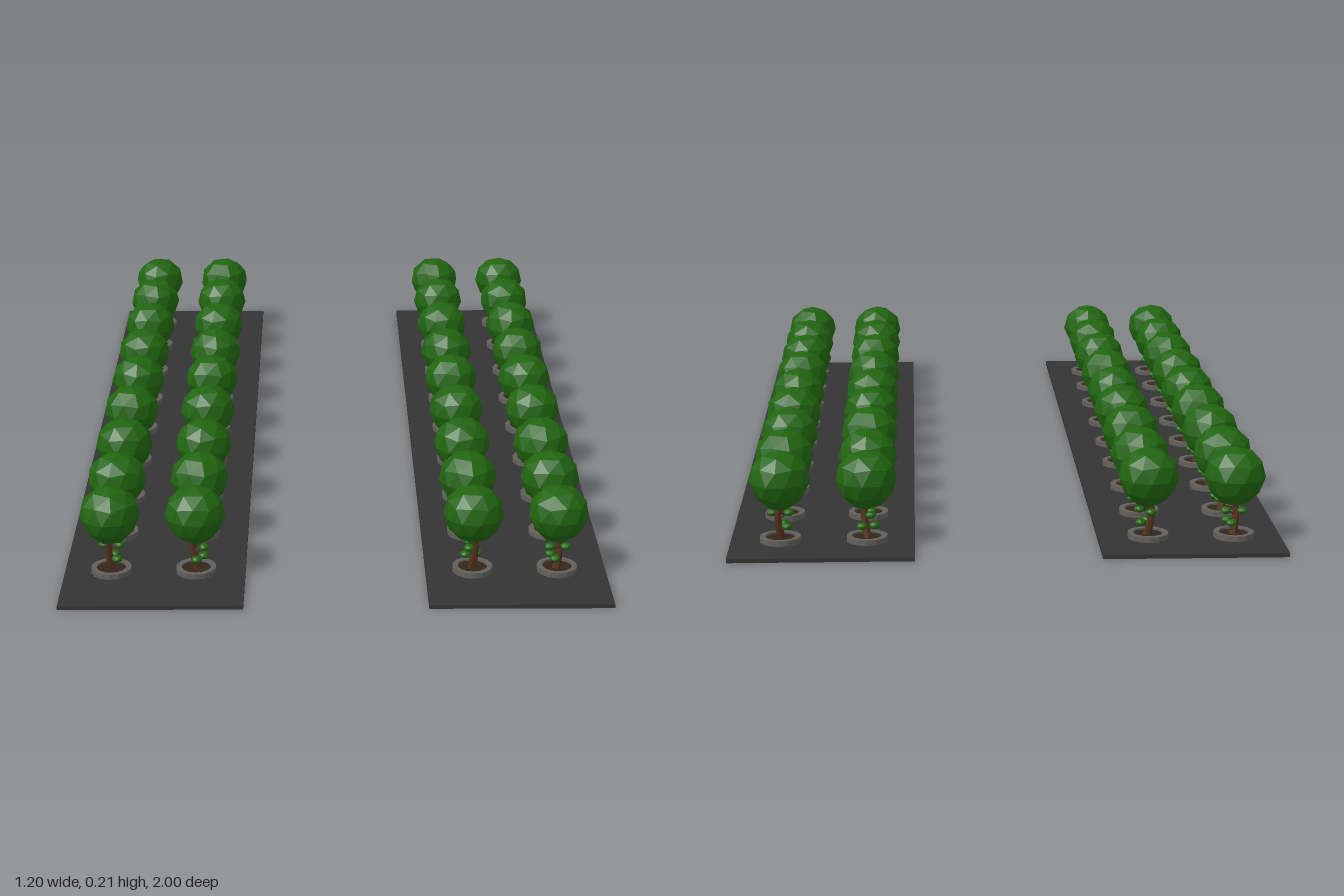
import * as THREE from 'three';

const mat = (name, color) => {
  const m = new THREE.MeshStandardMaterial({ color });
  m.name = name;
  m.flatShading = true;
  return m;
};

export function createModel() {
  const paving = mat('dark paving', 0x343434);
  const stone = mat('grey stone', 0x625f5b);
  const soil = mat('dark soil', 0x33251a);
  const bark = mat('brown bark', 0x52301a);
  const leaf = mat('green leaf', 0x20640f);

  // Faceted crown with a vertex on top, narrowing towards the bottom
  const crownGeo = new THREE.IcosahedronGeometry(0.067, 1).rotateZ(-0.5536);
  const p = crownGeo.attributes.position;
  for (let i = 0; i < p.count; i++) {
    const y = p.getY(i);
    const k = y < -0.01 ? 1 + y * 2.2 : 1 + Math.max(y, 0) * 0.8;
    p.setXYZ(i, p.getX(i) * k, y, p.getZ(i) * k);
  }
  crownGeo.computeVertexNormals();

  // Tapered, gently bent trunk
  const trunkGeo = new THREE.CylinderGeometry(0.006, 0.01, 0.09, 7, 5);
  const t = trunkGeo.attributes.position;
  for (let i = 0; i < t.count; i++) {
    const h = t.getY(i) / 0.09 + 0.5;
    t.setX(i, t.getX(i) + 0.005 - 0.012 * Math.sin(h * Math.PI * 0.7));
  }
  trunkGeo.translate(0, 0.053, 0);
  trunkGeo.computeVertexNormals();

  // Stone ring around the soil
  const ringGeo = new THREE.LatheGeometry(
    [[0.033, 0.008], [0.045, 0.008], [0.045, 0.021], [0.033, 0.021], [0.033, 0.008]]
      .map(([x, y]) => new THREE.Vector2(x, y)), 14);
  const soilGeo = new THREE.CylinderGeometry(0.034, 0.034, 0.009, 14).translate(0, 0.0125, 0);
  const tuftGeo = new THREE.IcosahedronGeometry(0.012, 1).scale(1, 0.68, 1);
  const twigGeo = new THREE.CylinderGeometry(0.0015, 0.0025, 1, 5).translate(0, 0.5, 0);
  const tufts = [[0.019, 0.071, 0.008], [0.017, 0.045, -0.006],
    [-0.004, 0.071, -0.019], [0.002, 0.045, 0.018]];

  const add = (parent, name, geo, material) => {
    const m = new THREE.Mesh(geo, material);
    m.name = name;
    parent.add(m);
    return m;
  };

  function makeTree(yaw, crownYaw) {
    const tree = new THREE.Group();
    tree.name = 'tree';
    add(tree, 'planterRing', ringGeo, stone);
    add(tree, 'planterSoil', soilGeo, soil);
    const upper = new THREE.Group();
    upper.name = 'treeTop';
    upper.rotation.y = yaw;
    tree.add(upper);
    add(upper, 'trunk', trunkGeo, bark);
    const crown = add(upper, 'crown', crownGeo, leaf);
    crown.position.y = 0.145;
    crown.rotation.y = crownYaw;
    // Small leafy side shoots
    for (const [x, y, z] of tufts) {
      const tip = new THREE.Vector3(x, y, z);
      add(upper, 'tuft', tuftGeo, leaf).position.copy(tip);
      const twig = add(upper, 'twig', twigGeo, bark);
      twig.position.set(-0.004, y - 0.012, 0);
      const dir = tip.sub(twig.position);
      twig.scale.y = dir.length();
      twig.quaternion.setFromUnitVectors(new THREE.Vector3(0, 1, 0), dir.normalize());
    }
    return tree;
  }

  const model = new THREE.Group();
  model.name = 'treeLinedStrips';
  const rows = [-0.87, -0.675, -0.46, -0.24, -0.03, 0.19, 0.415, 0.625, 0.825];
  const yaws = [0.8, 0, 2.4, 4];

  // Two paved strips, each with a double row of trees
  [-1, 1].forEach((side, s) => {
    const strip = new THREE.Group();
    strip.name = side < 0 ? 'rightStrip' : 'leftStrip';
    strip.position.x = side * 0.4;
    model.add(strip);
    add(strip, 'pavement', new THREE.BoxGeometry(0.4, 0.009, 2), paving).position.y = 0.0045;
    [-0.095, 0.093].forEach((x, c) => rows.forEach((z, r) => {
      const tree = makeTree(yaws[s * 2 + c], r * 0.35);
      tree.position.set(x - (s ? 0.001 : 0.002), 0, z);
      strip.add(tree);
    }));
  });
  return model;
}
